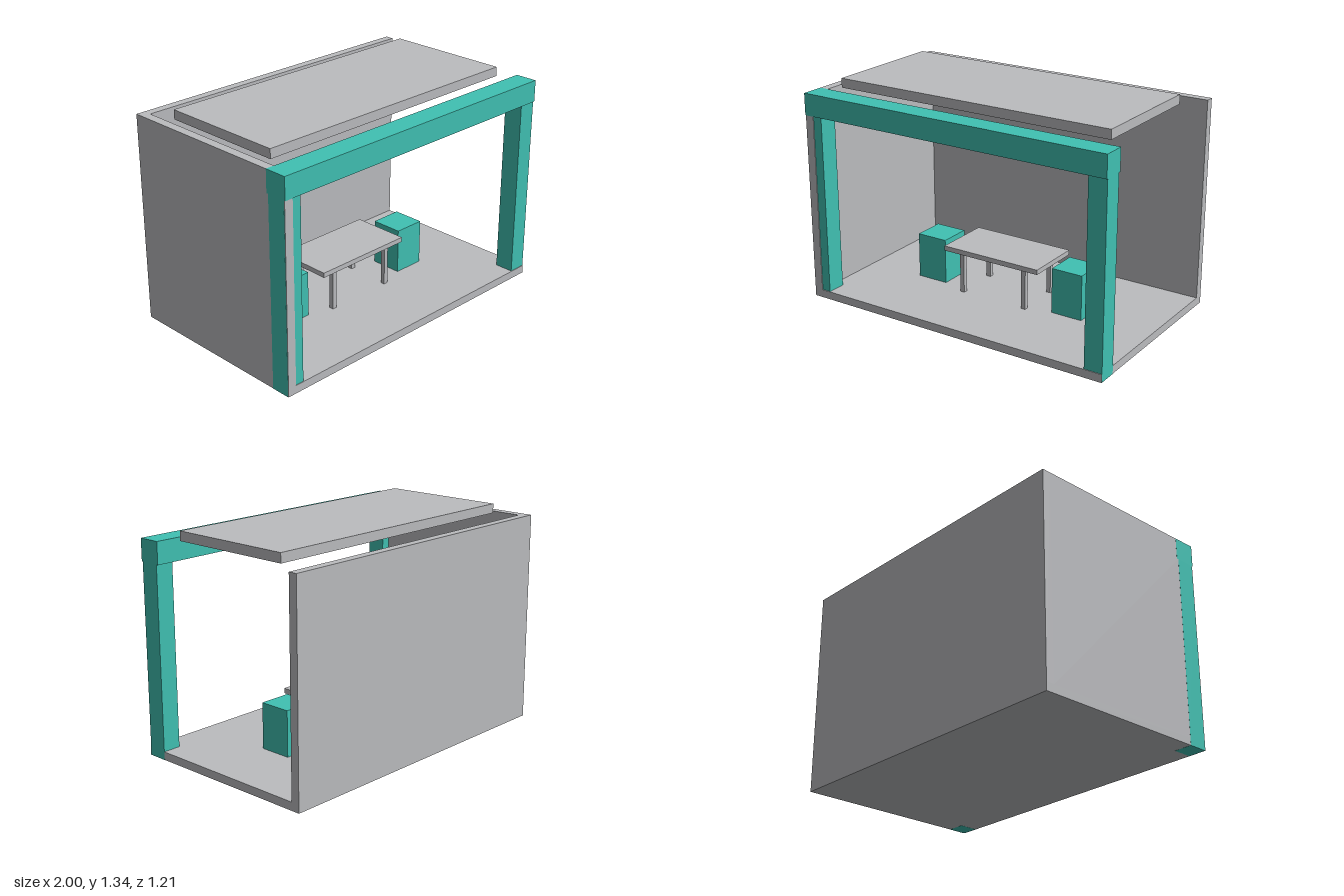
import * as THREE from 'three';

export function createModel() {
  const model = new THREE.Group();
  model.name = 'openBooth';

  const grey = new THREE.MeshStandardMaterial({ color: 0xbbbcbf });
  grey.name = 'light grey';
  const teal = new THREE.MeshStandardMaterial({ color: 0x40c1b3 });
  teal.name = 'teal';

  // Box given by its extents along each axis
  function box(name, material, [x0, x1], [y0, y1], [z0, z1], parent = model) {
    const mesh = new THREE.Mesh(new THREE.BoxGeometry(x1 - x0, y1 - y0, z1 - z0), material);
    mesh.position.set((x0 + x1) / 2, (y0 + y1) / 2, (z0 + z1) / 2);
    mesh.name = name;
    parent.add(mesh);
    return mesh;
  }

  // Shell: floor, back wall and one side wall, set a hair inside the frame faces
  const e = 0.0006;
  const floorTop = 0.05, wallTop = 1.28, front = 0.599, back = -0.603;
  box('floor', grey, [-1 + e, 1 - e], [e, floorTop], [back, front]);
  box('backWall', grey, [-1 + e, 1 - e], [floorTop, wallTop - e], [back, -0.55]);
  box('sideWall', grey, [-1 + e, -0.945], [floorTop, wallTop - e], [-0.55, front]);

  // Front frame: two posts through the floor and a beam on top
  const frame = new THREE.Group();
  frame.name = 'frontFrame';
  model.add(frame);
  for (const [name, x] of [['rightPost', [-1, -0.888]], ['leftPost', [0.888, 1]]]) {
    box(name, teal, x, [0, 1.147], [0.477, 0.595], frame);
  }
  box('beam', teal, [-1, 1], [1.147, wallTop], [0.465, 0.603], frame);

  // Raised roof panel
  box('roofPanel', grey, [-0.9, 0.9], [1.278, 1.335], [-0.394, 0.388]);

  // Table with four square legs
  const table = new THREE.Group();
  table.name = 'table';
  model.add(table);
  box('tableTop', grey, [-0.33, 0.327], [0.304, 0.334], [-0.181, 0.178], table);
  for (const x of [-0.22, 0.217]) {
    for (const z of [-0.141, 0.139]) {
      box('tableLeg', grey, [x - 0.014, x + 0.014], [floorTop, 0.304], [z - 0.014, z + 0.014], table);
    }
  }

  // Block stools at both ends of the table
  for (const x of [-0.482, 0.48]) {
    box('stool', teal, [x - 0.1, x + 0.1], [floorTop, 0.33], [-0.1, 0.1]);
  }

  return model;
}
